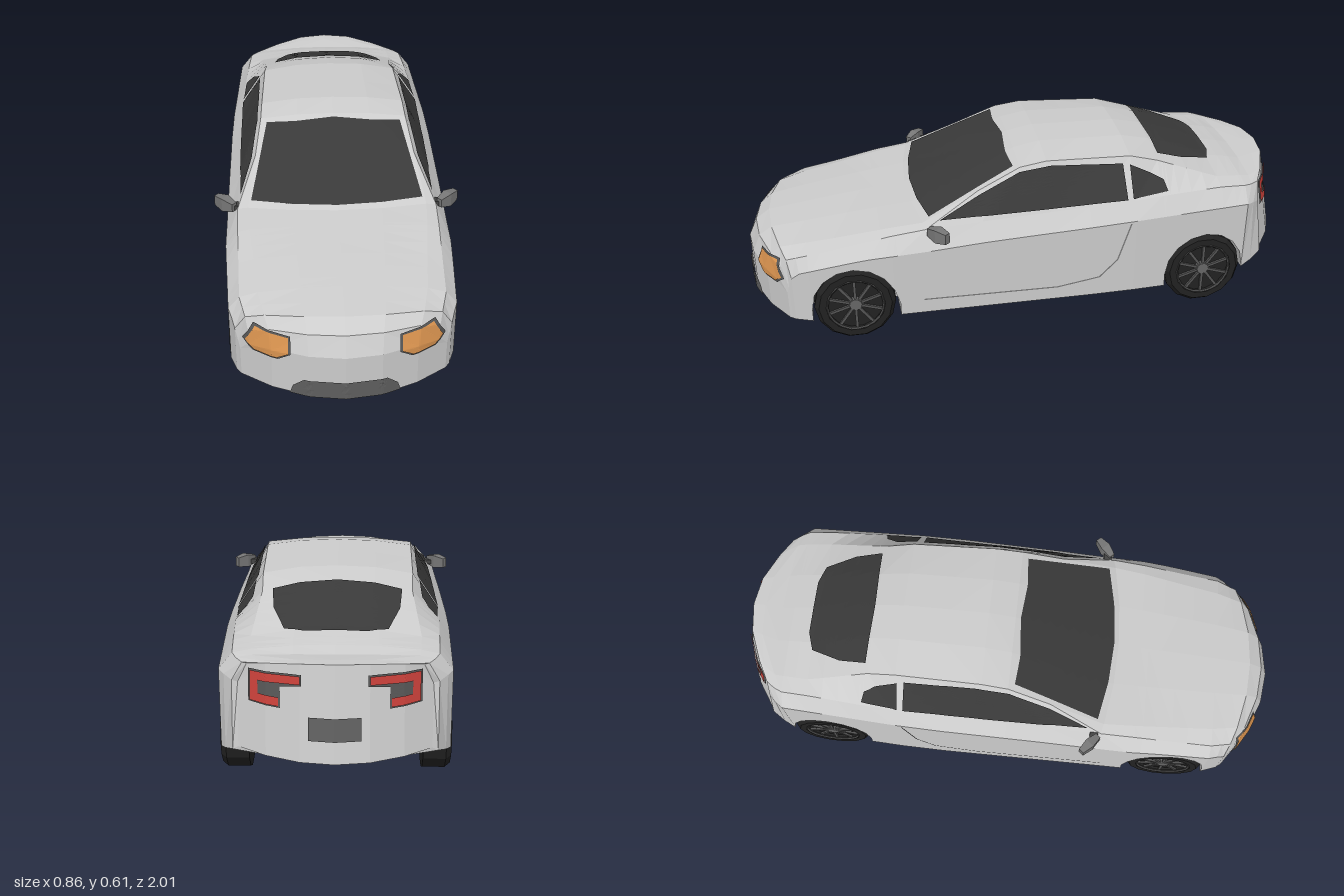
import * as THREE from 'three';

const mat = (color, side = THREE.FrontSide) =>
  new THREE.MeshStandardMaterial({ color, flatShading: true, side });

// Piecewise-linear curve over z, keys ordered from nose to tail
const curve = (...keys) => (z) => {
  for (let i = 1; i < keys.length; i++) {
    const [z0, a] = keys[i - 1], [z1, b] = keys[i];
    if (z >= z1) return a + (b - a) * Math.min(1, Math.max(0, (z0 - z) / (z0 - z1)));
  }
  return keys[keys.length - 1][1];
};

// Lines that shape the body along its length
const width = curve([1, 0.33], [0.96, 0.337], [0.92, 0.345], [0.79, 0.367], [0.5, 0.385], [-0.3, 0.388], [-0.79, 0.365], [-0.92, 0.325], [-1, 0.3]);
const bow = curve([1, 0.13], [0.96, 0.1], [0.92, 0.07], [0.79, 0], [0.5, 0], [0.42, 0.05], [0.2, 0.02], [0.035, 0], [-0.79, 0], [-0.92, -0.05], [-1, -0.12]);
const lean = curve([-0.79, 0], [-1, 0.06]);
const floorY = curve([1, 0.095], [-0.5, 0.095], [-0.79, 0.135], [-1, 0.18]);
const waistY = curve([1, 0.2], [0.9, 0.28], [0.6, 0.33], [0.3, 0.355], [-0.35, 0.385], [-0.8, 0.4], [-1, 0.38]);
const beltX = curve([1, 0.3], [0.92, 0.31], [0.79, 0.33], [0.42, 0.345], [-0.35, 0.345], [-0.5, 0.34], [-0.8, 0.32], [-1, 0.27]);
const beltY = curve([1, 0.24], [0.97, 0.29], [0.92, 0.32], [0.675, 0.36], [0.42, 0.41], [0, 0.43], [-0.35, 0.445], [-0.5, 0.455], [-0.69, 0.46], [-0.85, 0.45], [-1, 0.445]);
const edgeX = curve([1, 0.23], [0.92, 0.25], [0.79, 0.27], [0.42, 0.31], [0.035, 0.265], [-0.06, 0.262], [-0.366, 0.255], [-0.47, 0.25], [-0.69, 0.27], [-0.85, 0.26], [-1, 0.21]);
const edgeY = curve([1, 0.25], [0.97, 0.31], [0.92, 0.34], [0.675, 0.375], [0.42, 0.418], [0.035, 0.578], [-0.06, 0.592], [-0.366, 0.58], [-0.47, 0.55], [-0.69, 0.475], [-0.85, 0.46], [-1, 0.46]);
const topY = curve([1, 0.255], [0.97, 0.32], [0.92, 0.355], [0.675, 0.39], [0.42, 0.42], [0.035, 0.595], [-0.06, 0.613], [-0.366, 0.607], [-0.47, 0.585], [-0.69, 0.5], [-0.85, 0.468], [-0.94, 0.476], [-1, 0.478]);

const AXLES = [0.64, -0.635], WHEEL_Y = 0.143, ARCH_R = 0.15;

// Half cross-section from floor centre, round the side, to top centre
function section({ z, arch }) {
  const w = width(z), f = floorY(z), ex = edgeX(z), ey = edgeY(z), t = topY(z);
  const lip = arch === undefined ? f : WHEEL_Y + arch;
  return [[0, f], [0.35 * w, f], [0.7 * w, f], [0.7 * w, lip], [w, lip], [w, waistY(z)],
    [beltX(z), beltY(z)], [ex, ey], [ex * 0.5, ey + (t - ey) * 0.8], [0, t]]
    .map(([x, y]) => new THREE.Vector3(x, y, z - bow(z) * (x / w) ** 2 + lean(z) * (y - f) / 0.3));
}

function bodyGeometry() {
  const stations = [1, 0.97, 0.92, 0.86].map((z) => ({ z }));
  const addArch = (axle) => {
    stations.push({ z: axle + ARCH_R });
    for (let i = 0; i <= 8; i++) {
      const a = (i / 8) * Math.PI;
      stations.push({ z: axle + ARCH_R * Math.cos(a), arch: ARCH_R * Math.sin(a) });
    }
    stations.push({ z: axle - ARCH_R });
  };
  addArch(AXLES[0]);
  stations.push(...[0.42, 0.2, 0.035, -0.06, -0.2, -0.366, -0.47].map((z) => ({ z })));
  addArch(AXLES[1]);
  stations.push(...[-0.85, -0.94, -1].map((z) => ({ z })));

  const pos = [], tri = new THREE.Triangle();
  const face = (a, b, c) => {
    if (tri.set(a, b, c).getArea() < 1e-7) return;
    for (const p of [a, b, c]) pos.push(p.x, p.y, p.z);
    for (const p of [a, c, b]) pos.push(-p.x, p.y, p.z);
  };
  const rings = stations.map(section);
  for (let s = 0; s + 1 < rings.length; s++) {
    const p = rings[s], q = rings[s + 1];
    for (let i = 0; i < 9; i++) {
      face(p[i], q[i], q[i + 1]);
      face(p[i], q[i + 1], p[i + 1]);
    }
  }
  // Nose and tail faces
  const cap = [[0, 1, 8], [0, 8, 9], [1, 2, 7], [1, 7, 8], [2, 4, 5], [2, 5, 7], [5, 6, 7]];
  const nose = rings[0], tail = rings[rings.length - 1];
  for (const [a, b, c] of cap) {
    face(nose[a], nose[b], nose[c]);
    face(tail[a], tail[c], tail[b]);
  }
  const g = new THREE.BufferGeometry();
  g.setAttribute('position', new THREE.Float32BufferAttribute(pos, 3));
  g.computeVertexNormals();
  return g;
}

// Directions from which flat outlines are laid onto the body
const VIEWS = {
  front: [(u, v) => new THREE.Vector3(u, v, 3), new THREE.Vector3(0, 0, -1)],
  back: [(u, v) => new THREE.Vector3(u, v, -3), new THREE.Vector3(0, 0, 1)],
  left: [(u, v) => new THREE.Vector3(3, v, u), new THREE.Vector3(-1, 0, 0)],
  top: [(u, v) => new THREE.Vector3(u, 3, v), new THREE.Vector3(0, -1, 0)],
};

// Thin panel following the body surface inside a 2D outline
function panel(body, view, outline, mirror, lift, levels) {
  const pts = outline.map(([u, v]) => new THREE.Vector2(u, v));
  if (THREE.ShapeUtils.isClockWise(pts)) pts.reverse();
  let tris = THREE.ShapeUtils.triangulateShape(pts, []).map((f) => f.map((i) => pts[i]));
  const mid = (a, b) => a.clone().add(b).multiplyScalar(0.5);
  for (let l = 0; l < levels; l++) tris = tris.flatMap(([a, b, c]) => {
    const d = mid(a, b), e = mid(b, c), f = mid(c, a);
    return [[a, d, f], [d, b, e], [f, e, c], [d, e, f]];
  });
  const [origin, dir] = VIEWS[view], ray = new THREE.Raycaster(), out = [];
  const project = (p) => {
    ray.set(origin(p.x, p.y), dir);
    const hit = ray.intersectObject(body)[0];
    return hit && hit.point.addScaledVector(dir, -lift);
  };
  for (const t of tris) {
    const q = t.map(project);
    if (q.every(Boolean)) for (const p of q) out.push(mirror ? -p.x : p.x, p.y, p.z);
  }
  const g = new THREE.BufferGeometry();
  g.setAttribute('position', new THREE.Float32BufferAttribute(out, 3));
  g.computeVertexNormals();
  return g;
}

function wheel() {
  const g = new THREE.Group();
  const add = (name, geo, color) => {
    const m = new THREE.Mesh(geo, mat(color, THREE.DoubleSide));
    m.name = name;
    g.add(m);
    return m;
  };
  const profile = [[0, -0.046], [0.143, -0.046], [0.143, 0.028], [0.128, 0.046], [0.104, 0.046], [0.1, 0.028], [0, 0.028]];
  add('tyre', new THREE.LatheGeometry(profile.map(([r, y]) => new THREE.Vector2(r, y)), 14).rotateZ(-Math.PI / 2), 0x222222);
  add('rim', new THREE.TorusGeometry(0.1, 0.005, 4, 20).rotateY(Math.PI / 2), 0x444444).position.x = 0.042;
  add('hub', new THREE.CylinderGeometry(0.022, 0.028, 0.014, 10).rotateZ(-Math.PI / 2), 0x666666).position.x = 0.035;
  for (let i = 0; i < 10; i++)
    add('spoke', new THREE.BoxGeometry(0.008, 0.08, 0.01).translate(0.035, 0.06, 0).rotateX((i / 10) * Math.PI * 2), 0x555555);
  return g;
}

// Door mirror: swept housing, thinner toward its outer end, on a short stalk
function mirrorUnit() {
  const g = new THREE.Group();
  const shell = new THREE.BoxGeometry(0.085, 0.05, 0.036, 2, 1, 1), p = shell.attributes.position;
  for (let i = 0; i < p.count; i++)
    if (Math.abs(p.getX(i)) > 0.04) p.setXYZ(i, p.getX(i), p.getY(i) * (p.getX(i) > 0 ? 0.75 : 0.6), p.getZ(i) * 0.6);
  const housing = new THREE.Mesh(shell, mat(0x777777));
  housing.name = 'mirrorHousing';
  housing.position.set(0.389, 0.41, 0.342);
  housing.rotation.y = 0.72;
  const stalk = new THREE.Mesh(new THREE.BoxGeometry(0.05, 0.018, 0.03), mat(0x444444));
  stalk.name = 'mirrorStalk';
  stalk.position.set(0.352, 0.405, 0.355);
  g.add(housing, stalk);
  return g;
}

export function createModel() {
  const car = new THREE.Group();
  car.name = 'car';
  const body = new THREE.Mesh(bodyGeometry(), mat(0xcccccc));
  body.name = 'body';
  car.add(body);

  const lay = (name, view, color, outline, { both = false, lift = 0.007, levels = 4 } = {}) => {
    for (const mirror of both ? [false, true] : [false]) {
      const m = new THREE.Mesh(panel(body, view, outline, mirror, lift, levels), mat(color, THREE.DoubleSide));
      m.name = name;
      car.add(m);
    }
  };
  const GLASS = 0x393939, both = { both: true };

  // Glass
  lay('windshield', 'front', GLASS, [[-0.298, 0.433], [0, 0.431], [0.298, 0.433], [0.243, 0.574], [0, 0.59], [-0.243, 0.574]]);
  lay('doorWindow', 'left', GLASS, [[0.33, 0.436], [0.04, 0.566], [-0.07, 0.579], [-0.335, 0.562], [-0.34, 0.452]], both);
  lay('quarterWindow', 'left', GLASS, [[-0.36, 0.558], [-0.48, 0.5], [-0.49, 0.468], [-0.36, 0.454]], both);
  lay('rearWindow', 'top', GLASS, [[-0.215, -0.48], [0, -0.472], [0.215, -0.48], [0.205, -0.58], [0.165, -0.69], [0.1, -0.712], [-0.1, -0.712], [-0.165, -0.69], [-0.205, -0.58]]);

  // Lights, air intake and plate
  lay('headlightSurround', 'front', 0x555555, [[0.17, 0.304], [0.285, 0.315], [0.322, 0.252], [0.288, 0.22], [0.21, 0.22], [0.17, 0.248]], { both: true, lift: 0.005 });
  lay('headlight', 'front', 0xd9934f, [[0.177, 0.3], [0.28, 0.308], [0.313, 0.252], [0.284, 0.226], [0.213, 0.226], [0.177, 0.25]], { both: true, lift: 0.008 });
  lay('airIntake', 'front', 0x5e5e5e, [[-0.175, 0.097], [0.175, 0.097], [0.165, 0.13], [0.13, 0.162], [-0.13, 0.162], [-0.165, 0.13]]);
  lay('tailLightSurround', 'back', 0x555555, [[0.1, 0.444], [0.265, 0.434], [0.265, 0.335], [0.165, 0.335], [0.165, 0.4], [0.1, 0.41]], { both: true, lift: 0.004 });
  lay('tailLight', 'back', 0xc8403a, [[0.105, 0.44], [0.26, 0.43], [0.26, 0.34], [0.17, 0.34], [0.17, 0.367], [0.235, 0.367], [0.235, 0.405], [0.105, 0.415]], { both: true, lift: 0.008 });
  lay('licencePlate', 'back', 0x5e5e5e, [[-0.08, 0.25], [0.08, 0.25], [0.08, 0.32], [-0.08, 0.32]]);

  // Door seam
  const seam = [[-0.345, 0.378], [-0.3, 0.235], [-0.235, 0.17], [-0.08, 0.145], [0.4, 0.15]];
  for (let i = 0; i + 1 < seam.length; i++) {
    const [[a, b], [c, d]] = [seam[i], seam[i + 1]];
    const k = 0.0025 / Math.hypot(c - a, d - b), nx = (b - d) * k, ny = (c - a) * k;
    lay('doorSeam', 'left', 0x777777, [[a - nx, b - ny], [c - nx, d - ny], [c + nx, d + ny], [a + nx, b + ny]], { both: true, lift: 0.002, levels: 2 });
  }

  // Wheels and door mirrors
  for (const side of [1, -1]) {
    for (const z of AXLES) {
      const w = wheel();
      w.name = z > 0 ? 'frontWheel' : 'rearWheel';
      w.position.set(side * 0.325, WHEEL_Y, z);
      if (side < 0) w.rotation.y = Math.PI;
      car.add(w);
    }
    const m = mirrorUnit();
    m.name = 'doorMirror';
    m.scale.x = side;
    car.add(m);
  }
  return car;
}
